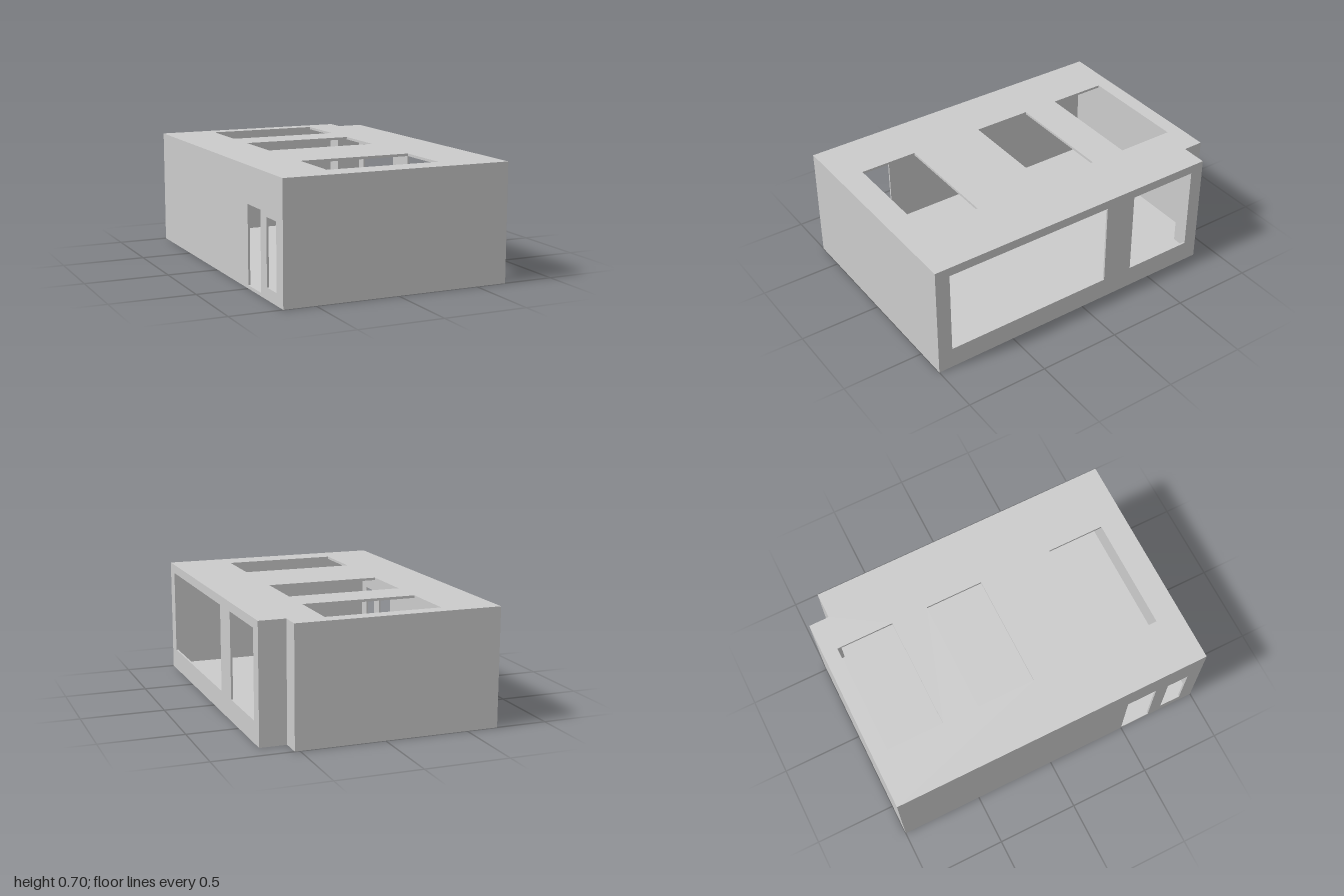
import * as THREE from 'three';

const W = 0.69, H = 0.705;         // half width, height
const T = 0.012;                   // wall thickness
const SLAB = 0.02, ROOF = 0.015;   // floor and roof thickness
const NX = 0.53, NZ = -0.875;      // corner notch
const material = new THREE.MeshStandardMaterial({ color: 0xcccccc });

const points = (list) => list.map(([x, y]) => new THREE.Vector2(x, y));
const rect = (a0, a1, b0, b1) => points([[a0, b0], [a1, b0], [a1, b1], [a0, b1]]);

function plate(outline, holes, depth) {
  const shape = new THREE.Shape(outline);
  for (const h of holes) shape.holes.push(new THREE.Path(h));
  return new THREE.ExtrudeGeometry(shape, { depth, bevelEnabled: false });
}

export function createModel() {
  const house = new THREE.Group();
  house.name = 'houseShell';

  const add = (name, geometry) => {
    const mesh = new THREE.Mesh(geometry, material);
    mesh.name = name;
    house.add(mesh);
  };

  // Horizontal plate drawn in (x, z), hanging down from the given height
  const level = (name, top, depth, holes = []) => {
    const footprint = points([[-W, -1], [NX, -1], [NX, NZ], [W, NZ], [W, 1], [-W, 1]]);
    add(name, plate(footprint, holes, depth).rotateX(Math.PI / 2).translate(0, top, 0));
  };

  // Side wall drawn in (z, y), outer or inner face at x, thickness toward -x
  const sideWall = (name, x, outline, holes) =>
    add(name, plate(outline, holes, T).rotateY(-Math.PI / 2).translate(x, 0, 0));

  // Plain upright wall between two plan corners
  const y0 = SLAB, y1 = H - ROOF;
  const plainWall = (name, x0, x1, z0, z1) =>
    add(name, new THREE.BoxGeometry(x1 - x0, y1 - y0, z1 - z0)
      .translate((x0 + x1) / 2, (y0 + y1) / 2, (z0 + z1) / 2));

  // Floor and roof with three skylights
  level('floor', SLAB, SLAB);
  const skylights = [[-0.91, -0.555], [-0.33, 0.03], [0.49, 0.845]];
  level('roof', H, ROOF, skylights.map(([a, b]) => rect(-0.365, 0.325, a, b)));

  // Left wall with two large windows
  sideWall('leftWall', W, rect(NZ, 1, y0, y1),
    [rect(-0.16, 0.91, 0.13, 0.65), rect(-0.79, -0.355, 0.13, 0.65)]);

  // Right wall with a doorway and a small window
  const doorOutline = points([[-1, y0], [0.5, y0], [0.5, 0.485], [0.69, 0.485],
    [0.69, y0], [1, y0], [1, y1], [-1, y1]]);
  sideWall('rightWall', -W + T, doorOutline, [rect(0.775, 0.91, 0.07, 0.46)]);

  // Front, back and notch walls
  plainWall('frontWall', -W + T, W - T, 1 - T, 1);
  plainWall('backWall', -W + T, NX, -1, -1 + T);
  plainWall('notchSideWall', NX - T, NX, -1 + T, NZ + T);
  plainWall('notchBackWall', NX, W - T, NZ, NZ + T);

  return house;
}
